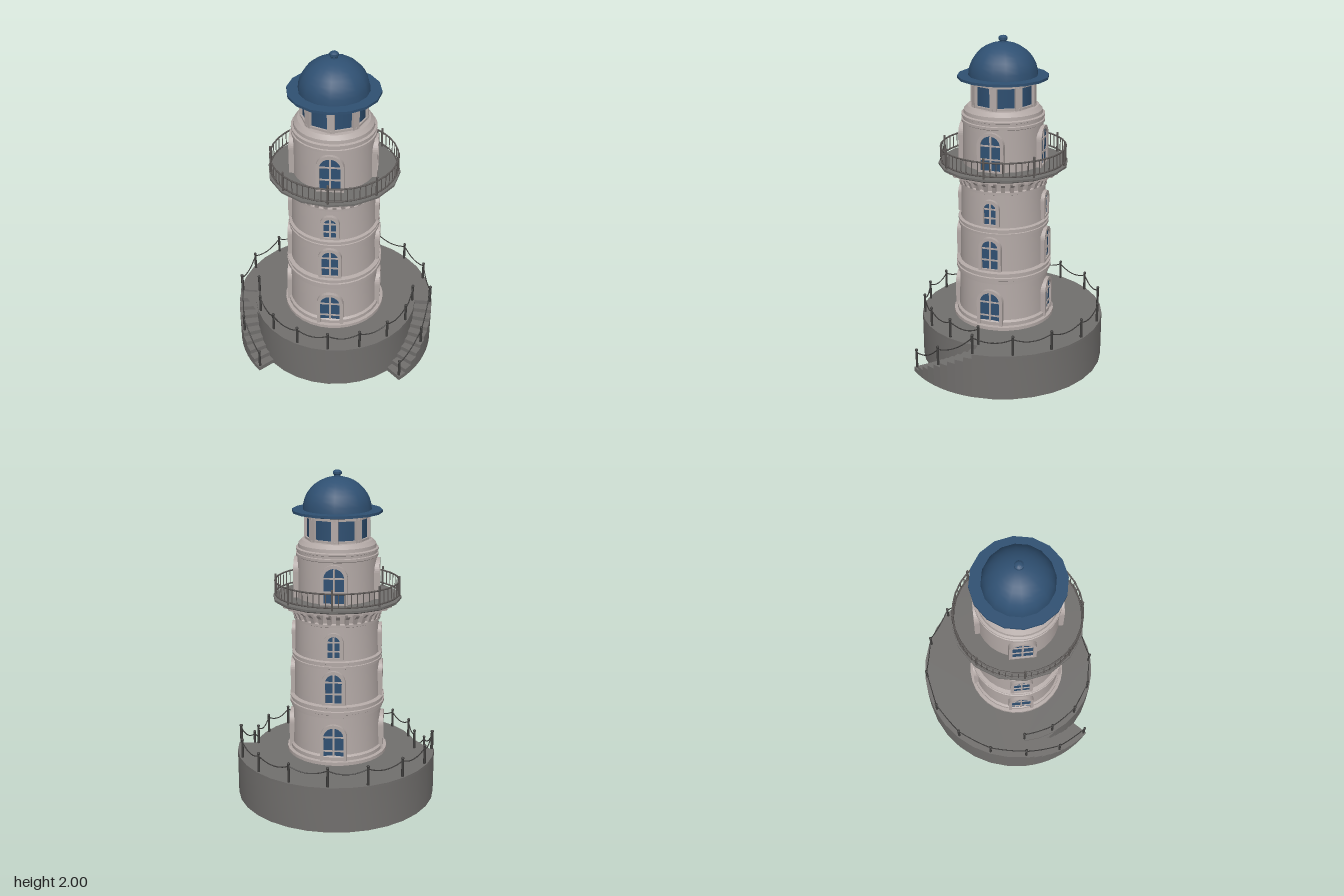
import * as THREE from 'three';
import { toCreasedNormals, mergeGeometries } from 'three/addons/utils/BufferGeometryUtils.js';

const mat = (name, color, side = THREE.FrontSide) => {
  const m = new THREE.MeshStandardMaterial({ color, side });
  m.name = name;
  return m;
};
const stone = mat('pale stone', 0xb3a9a6, THREE.DoubleSide);
const deckGrey = mat('deck grey', 0x716f6d, THREE.DoubleSide);
const railGrey = mat('rail grey', 0x5e5a58);
const iron = mat('dark iron', 0x3f3e3d);
const blue = mat('blue', 0x2f5072);

const TAU = Math.PI * 2;
const rad = THREE.MathUtils.degToRad;
// Angle 0 points to the front, 90 degrees to +x
const polar = (r, a, y) => new THREE.Vector3(r * Math.sin(a), y, r * Math.cos(a));
const plan = (r, a) => new THREE.Vector2(r * Math.sin(a), -r * Math.cos(a));

function add(parent, name, geo, material) {
  const m = new THREE.Mesh(geo, material);
  m.name = name;
  parent.add(m);
  return m;
}
function lathe(points, segments) {
  const g = new THREE.LatheGeometry(points.map(p => new THREE.Vector2(...p)), segments);
  return toCreasedNormals(g, 0.5);
}
// Upright extrusion of a plan shape, from y0 to y1
function upright(shape, y0, y1) {
  const g = new THREE.ExtrudeGeometry(shape, { depth: y1 - y0, bevelEnabled: false });
  return toCreasedNormals(g.rotateX(-Math.PI / 2).translate(0, y0, 0), 0.4);
}
const bar = (w, h, d, x, y, z) => new THREE.BoxGeometry(w, h, d).translate(x, y, z);

// Platform outline: wide at the back, narrow at the front where the stairs wrap
function outline(inset) {
  const pts = [];
  for (let i = 0; i <= 16; i++) pts.push(plan(0.613 - inset, rad(90 + i * 11.25)));
  for (let i = 0; i <= 16; i++) pts.push(plan(0.505 - inset, rad(270 + i * 11.25)));
  return pts;
}

function buildBase(root) {
  const base = new THREE.Group();
  base.name = 'base';
  root.add(base);
  const deck = new THREE.Shape(outline(0));
  deck.holes.push(new THREE.Path().absarc(0, 0, 0.27, 0, TAU, true));
  add(base, 'deck', upright(deck, 0.265, 0.28), deckGrey);
  const wall = new THREE.Shape(outline(0));
  wall.holes.push(new THREE.Path(outline(0.008).reverse()));
  add(base, 'baseWall', upright(wall, 0, 0.266), deckGrey);

  // Curved stairs on both sides
  for (const s of [1, -1]) {
    const steps = [];
    for (let i = 0; i < 9; i++) {
      const a = s * rad(90 - i * 5), b = s * rad(85 - i * 5);
      const shape = new THREE.Shape([plan(0.5, a), plan(0.613, a), plan(0.613, b), plan(0.5, b)]);
      steps.push(upright(shape, 0, 0.28 - (i + 1) * 0.028));
    }
    add(base, s > 0 ? 'leftStairs' : 'rightStairs', mergeGeometries(steps), deckGrey);
  }

  // Posts with sagging chains
  const back = [], front = [], runs = [back, front];
  for (let i = 0; i <= 8; i++) {
    back.push(polar(0.597, rad(90 + i * 22.5), 0.28));
    front.push(polar(0.489, rad(-90 + i * 22.5), 0.28));
  }
  for (const s of [1, -1]) {
    runs.push([[90, 0.28], [67.5, 0.145], [46, 0.03]].map(([a, y]) => polar(0.6, s * rad(a), y)));
  }
  const posts = [], chains = [];
  for (const run of runs) run.forEach((p, i) => {
    posts.push(new THREE.CylinderGeometry(0.007, 0.008, 0.115, 8).translate(p.x, p.y + 0.057, p.z));
    posts.push(new THREE.SphereGeometry(0.0095, 8, 6).translate(p.x, p.y + 0.115, p.z));
    if (!i) return;
    const a = run[i - 1].clone(), b = p.clone();
    a.y += 0.1;
    b.y += 0.1;
    const mid = a.clone().lerp(b, 0.5);
    mid.y -= 0.06;
    chains.push(new THREE.TubeGeometry(new THREE.QuadraticBezierCurve3(a, mid, b), 10, 0.0035, 5));
  });
  add(base, 'chainPosts', mergeGeometries(posts), iron);
  add(base, 'chains', mergeGeometries(chains), iron);
}

// Round-topped shape standing on y = 0
function arch(w, h, y0 = 0, Kind = THREE.Shape) {
  const s = new Kind(), r = w / 2;
  s.moveTo(-r, y0);
  s.lineTo(r, y0);
  s.lineTo(r, h - r);
  s.absarc(0, h - r, r, 0, Math.PI, false);
  s.lineTo(-r, y0);
  return s;
}
const slab = (shape, z0, z1) => new THREE.ExtrudeGeometry(shape,
  { depth: z1 - z0, bevelEnabled: false, curveSegments: 10 }).translate(0, 0, z0);

// Four arched openings around the tower at one level
function buildWindows(parent, name, y, w, h, r) {
  const t = 0.02, gw = w - 2 * t, gh = h - t;
  const frame = arch(w, h);
  frame.holes.push(arch(gw, gh, 0.012, THREE.Path));
  const frameGeo = slab(frame, r - 0.03, r + 0.014);
  const glassGeo = slab(arch(gw + 0.002, gh + 0.001, 0.003), r - 0.04, r + 0.003);
  const z = r + 0.002;
  const bars = mergeGeometries([
    bar(0.011, gh - 0.01, 0.012, 0, gh / 2, z),
    bar(gw, 0.009, 0.012, 0, gh * 0.36, z),
    bar(gw, 0.009, 0.012, 0, gh - gw / 2, z)]);
  for (let i = 0; i < 4; i++) {
    const g = new THREE.Group();
    g.name = name;
    g.position.y = y;
    g.rotation.y = i * Math.PI / 2;
    add(g, 'frame', frameGeo, stone);
    add(g, 'glass', glassGeo, blue);
    add(g, 'glazingBars', bars, stone);
    parent.add(g);
  }
}

function buildTower(root) {
  const tower = new THREE.Group();
  tower.name = 'tower';
  tower.position.x = -0.007;
  root.add(tower);

  // Shaft with moulded bands, up to the lantern floor
  add(tower, 'shaft', lathe([
    [0.27, 0.27], [0.308, 0.27], [0.308, 0.3], [0.288, 0.303], [0.288, 0.325], [0.275, 0.335],
    [0.268, 0.565], [0.28, 0.57], [0.28, 0.59], [0.29, 0.595], [0.29, 0.612], [0.282, 0.615],
    [0.282, 0.632], [0.289, 0.635], [0.289, 0.642], [0.265, 0.648],
    [0.259, 0.868], [0.272, 0.873], [0.272, 0.888], [0.266, 0.89], [0.266, 0.9], [0.274, 0.903], [0.274, 0.915], [0.257, 0.92],
    [0.25, 1.12], [0.262, 1.125], [0.262, 1.14], [0.25, 1.145], [0.26, 1.215], [0.35, 1.222], [0.35, 1.236], [0.24, 1.237],
    [0.236, 1.5], [0.245, 1.505], [0.245, 1.52], [0.238, 1.523], [0.238, 1.537], [0.245, 1.54], [0.245, 1.55], [0.232, 1.555],
    [0.23, 1.575], [0.208, 1.598], [0.195, 1.6], [0.0, 1.601]], 32), stone);

  buildWindows(tower, 'door', 0.28, 0.16, 0.25, 0.274);
  buildWindows(tower, 'lowerWindow', 0.652, 0.138, 0.21, 0.264);
  buildWindows(tower, 'upperWindow', 0.93, 0.112, 0.162, 0.256);
  buildWindows(tower, 'balconyDoor', 1.252, 0.158, 0.238, 0.24);

  // Corbels under the balcony
  const side = new THREE.Shape([[0.24, 1.14], [0.262, 1.14], [0.275, 1.175], [0.305, 1.2], [0.342, 1.21], [0.342, 1.224], [0.24, 1.224]]
    .map(p => new THREE.Vector2(...p)));
  const corbels = [];
  for (let i = 0; i < 32; i++) {
    corbels.push(new THREE.ExtrudeGeometry(side, { depth: 0.022, bevelEnabled: false })
      .translate(0, 0, -0.011).rotateY((i + 0.5) * TAU / 32));
  }
  add(tower, 'corbels', mergeGeometries(corbels), stone);

  // Balcony floor and railing
  add(tower, 'balconyFloor', lathe([[0.23, 1.236], [0.375, 1.236], [0.385, 1.243], [0.385, 1.255], [0.23, 1.255]], 16), deckGrey);
  const rail = [];
  for (const y of [1.272, 1.352]) {
    rail.push(new THREE.TorusGeometry(0.371, 0.005, 6, 32).rotateX(Math.PI / 2).translate(0, y, 0));
  }
  for (let i = 0; i < 64; i++) {
    const big = i % 8 === 0, h = big ? 0.122 : 0.08, r = big ? 0.007 : 0.003;
    const p = polar(0.371, i * TAU / 64, (big ? 1.255 : 1.272) + h / 2);
    rail.push(new THREE.CylinderGeometry(r, r, h, 6).translate(p.x, p.y, p.z));
  }
  add(tower, 'balconyRailing', mergeGeometries(rail), railGrey);

  // Eight-sided lantern room
  add(tower, 'lanternGlass', new THREE.CylinderGeometry(0.185, 0.185, 0.15, 8).toNonIndexed().translate(0, 1.675, 0), blue);
  const frame = [];
  for (let i = 0; i < 8; i++) {
    frame.push(bar(0.042, 0.15, 0.024, 0, 1.675, 0.182).rotateY(i * TAU / 8));
    for (const [y, h] of [[1.606, 0.014], [1.738, 0.022]]) {
      frame.push(bar(0.15, h, 0.02, 0, y, 0.172).rotateY((i + 0.5) * TAU / 8));
    }
  }
  add(tower, 'lanternFrame', mergeGeometries(frame), stone);

  // Brim, dome and finial
  add(tower, 'roofBrim', lathe([[0, 1.745], [0.205, 1.745], [0.215, 1.755], [0.266, 1.757], [0.266, 1.772], [0, 1.772]], 16), blue);
  const dome = [];
  for (let i = 0; i <= 9; i++) {
    const a = i / 9 * Math.PI / 2;
    dome.push([Math.max(0, 0.202 * Math.cos(a)), 1.772 + 0.19 * Math.sin(a)]);
  }
  add(tower, 'dome', lathe(dome, 16), blue);
  add(tower, 'finial', lathe([[0.02, 1.95], [0.02, 1.97], [0.026, 1.975], [0.026, 1.988], [0.015, 1.997], [0, 2]], 12), blue);
}

export function createModel() {
  const root = new THREE.Group();
  root.name = 'lighthouse';
  const body = new THREE.Group();
  body.name = 'building';
  body.position.z = 0.053;
  root.add(body);
  buildBase(body);
  buildTower(body);
  return root;
}
